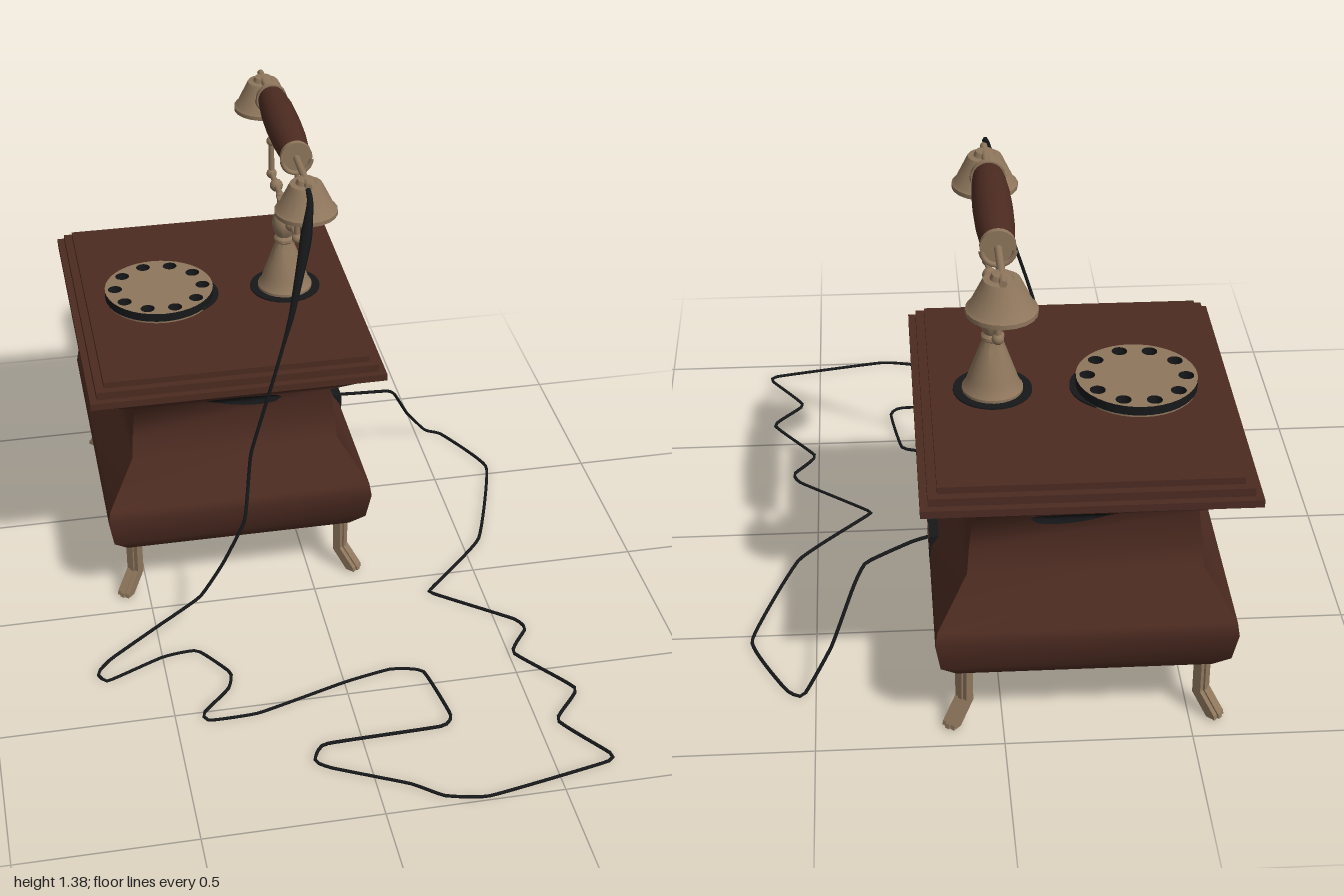
import * as THREE from 'three';
import { toCreasedNormals } from 'three/addons/utils/BufferGeometryUtils.js';

const mat = (name, color, extra = {}) => {
  const m = new THREE.MeshStandardMaterial({ color, ...extra });
  m.name = name;
  return m;
};

export function createModel() {
  const wood = mat('dark wood', 0x4c2b21);
  const brass = mat('aged brass', 0x8e765c);
  const black = mat('black', 0x17181a, { side: THREE.DoubleSide });
  const model = new THREE.Group();
  model.name = 'telephone';

  const add = (parent, name, geo, material, x = 0, y = 0, z = 0) => {
    const m = new THREE.Mesh(geo, material);
    m.name = name;
    m.position.set(x, y, z);
    parent.add(m);
    return m;
  };
  const group = (name, x, y, z) => {
    const g = new THREE.Group();
    g.name = name;
    g.position.set(x, y, z);
    model.add(g);
    return g;
  };
  const box = (w, h, d) => new THREE.BoxGeometry(w, h, d);
  const ball = (r) => new THREE.SphereGeometry(r, 14, 10);
  const lathe = (pts, seg = 24) => toCreasedNormals(
    new THREE.LatheGeometry(pts.map(([r, y]) => new THREE.Vector2(r, y)), seg), 0.6);

  // ---- Wooden case: rectangular cross-sections [y, half x, half z]
  const rows = [
    [0.172, 0.34, 0.415], [0.22, 0.382, 0.455], [0.306, 0.396, 0.473], [0.345, 0.39, 0.466],
    [0.465, 0.308, 0.374], [0.535, 0.303, 0.366], [0.62, 0.293, 0.35], [0.675, 0.356, 0.42], [0.727, 0.43, 0.5],
  ];
  const body = group('case', -0.216, 0, -0.5);
  const corners = [[-1, 1], [1, 1], [1, -1], [-1, -1]];
  corners.forEach((a, s) => {
    const b = corners[(s + 1) % 4];
    const pos = [], idx = [];
    rows.forEach(([y, hx, hz], i) => {
      pos.push(a[0] * hx, y, a[1] * hz, b[0] * hx, y, b[1] * hz);
      if (i) {
        const k = i * 2;
        idx.push(k - 2, k - 1, k + 1, k - 2, k + 1, k);
      }
    });
    const g = new THREE.BufferGeometry();
    g.setAttribute('position', new THREE.Float32BufferAttribute(pos, 3));
    g.setIndex(idx);
    g.computeVertexNormals();
    add(body, 'caseSide', g, wood);
  });
  add(body, 'caseFloor', box(0.68, 0.01, 0.83), wood, 0, 0.177, 0);
  // stepped lid
  [[0.43, 0.5, 0.727, 0.748], [0.41, 0.48, 0.748, 0.771], [0.386, 0.458, 0.771, 0.79]].forEach(
    ([hx, hz, y0, y1]) => add(body, 'lidStep', box(hx * 2, y1 - y0, hz * 2), wood, 0, (y0 + y1) / 2, 0));

  // dark oval inlays that follow the flare under the lid, front and back
  const halfZ = (y) => {
    const i = rows.findIndex((r) => r[0] >= y);
    const [a, b] = [rows[i - 1], rows[i]];
    return a[2] + (b[2] - a[2]) * (y - a[0]) / (b[0] - a[0]);
  };
  for (const s of [1, -1]) {
    const g = new THREE.PlaneGeometry(2, 2, 12, 6);
    const p = g.attributes.position;
    for (let i = 0; i < p.count; i++) {
      const u = p.getX(i);
      const y = 0.628 - 0.012 * u + p.getY(i) * 0.026 * Math.sqrt(Math.max(0, 1 - u * u));
      p.setXYZ(i, 0.03 + u * 0.115, y, s * (halfZ(y) + 0.004));
    }
    g.computeVertexNormals();
    add(body, 'ovalInlay', g, black);
  }

  // ---- Bent fluted legs, splayed diagonally at the four corners
  const leg = new THREE.Shape([[-0.012, 0.18], [-0.012, 0.065], [0.038, 0.006], [0.066, 0.006],
    [0.063, 0.018], [0.014, 0.075], [0.014, 0.18]].map(([x, y]) => new THREE.Vector2(x, y)));
  for (const sx of [-1, 1]) for (const sz of [-1, 1]) {
    const g = new THREE.Group();
    g.name = 'leg';
    g.position.set(sx * 0.317, 0, sz * 0.387);
    g.rotation.y = Math.atan2(-sz, sx);
    for (const k of [-1, 0, 1]) {
      const geo = new THREE.ExtrudeGeometry(leg, { depth: 0.013, bevelEnabled: false });
      add(g, 'legFlute', geo, brass, k ? 0 : 0.005, 0, k * 0.014 - 0.0065);
    }
    body.add(g);
  }

  // ---- Socket on the left side
  const socket = group('socket', 0.166, 0.332, -0.532);
  add(socket, 'socketBox', box(0.028, 0.086, 0.09), black);
  add(socket, 'socketPlate', box(0.004, 0.036, 0.08), wood, 0.014, 0.021, 0);

  // ---- Dial with ten finger holes
  const dial = group('dial', -0.382, 0.79, -0.5);
  const disc = new THREE.Shape().absarc(0, 0, 0.163, 0, Math.PI * 2);
  for (let i = 0; i < 10; i++) {
    const a = (104 + i * 36) * Math.PI / 180;
    disc.holes.push(new THREE.Path().absarc(Math.cos(a) * 0.132, Math.sin(a) * 0.132, 0.021, 0, Math.PI * 2, true));
  }
  const plate = new THREE.ExtrudeGeometry(disc, { depth: 0.026, bevelEnabled: false, curveSegments: 20 });
  plate.rotateX(-Math.PI / 2);
  add(dial, 'fingerPlate', plate, [brass, black], 0, 0.007, 0);
  add(dial, 'dialFloor', new THREE.CylinderGeometry(0.16, 0.16, 0.008, 36), brass, 0, 0.004, 0);
  add(dial, 'dialMat', new THREE.CylinderGeometry(0.125, 0.125, 0.004, 32), black, 0.055, 0.002, 0);

  // ---- Cradle: turned stand, crossbar and two posts
  const cradle = group('cradle', 0.003, 0, -0.495);
  add(cradle, 'standMat', new THREE.CylinderGeometry(0.106, 0.106, 0.004, 32), black, 0, 0.792, 0);
  add(cradle, 'stand', lathe([
    [0, 0.79], [0.082, 0.79], [0.082, 0.802], [0.074, 0.812], [0.066, 0.835], [0.05, 0.88], [0.034, 0.925],
    [0.026, 0.945], [0.031, 0.95], [0.031, 0.958], [0.024, 0.966], [0.033, 0.985], [0.037, 1.005],
    [0.033, 1.027], [0.02, 1.045], [0.014, 1.05], [0.014, 1.06], [0, 1.06]]), brass);
  add(cradle, 'barBlock', box(0.036, 0.036, 0.044), brass, 0, 1.067, 0);
  const bar = add(cradle, 'crossbar', new THREE.CylinderGeometry(0.009, 0.009, 0.43, 10), brass, 0, 1.066, 0);
  bar.rotation.x = Math.PI / 2;
  for (const s of [-1, 1]) {
    [[0.06, 0.014], [0.13, 0.02], [0.212, 0.016]].forEach(
      ([z, r]) => add(cradle, 'barBead', ball(r), brass, 0, 1.066, s * z));
    add(cradle, 'post', new THREE.CylinderGeometry(0.007, 0.009, 0.21, 10), brass, 0, 1.17, s * 0.212);
    add(cradle, 'postBead', ball(0.015), brass, 0, 1.175, s * 0.212);
    const fork = add(cradle, 'fork', new THREE.TorusGeometry(0.042, 0.007, 8, 16, Math.PI), brass, 0, 1.318, s * 0.212);
    fork.rotation.z = Math.PI;
  }

  // ---- Handset lying along z
  const handset = group('handset', 0.003, 1.32, -0.495);
  const grip = lathe([[0, -0.2], [0.04, -0.2], [0.044, -0.17], [0.05, -0.09], [0.052, 0], [0.05, 0.09],
    [0.044, 0.17], [0.04, 0.2], [0, 0.2]]);
  add(handset, 'grip', grip, wood, 0, 0.003, 0).rotation.x = Math.PI / 2;
  add(handset, 'rod', new THREE.CylinderGeometry(0.01, 0.01, 0.79, 12), brass).rotation.x = Math.PI / 2;
  const cupShell = [[0.084, -0.1], [0.09, -0.1], [0.09, -0.088], [0.082, -0.082], [0.052, -0.02],
    [0.046, -0.008], [0.03, -0.006], [0.024, 0.006], [0, 0.01]];
  const cupInside = [[0, -0.025], [0.046, -0.028], [0.084, -0.1]];
  for (const s of [-1, 1]) {
    const collar = lathe([[0, -0.008], [0.046, -0.008], [0.046, 0.008], [0, 0.008]]);
    add(handset, 'collar', collar, brass, 0, 0.002, s * 0.2).rotation.x = Math.PI / 2;
    add(handset, 'cup', lathe(cupShell, 20), brass, 0, 0, s * 0.35);
    add(handset, 'cupInside', lathe(cupInside, 20), black, 0, 0, s * 0.35);
  }

  // ---- Cord: hangs from the handset, wanders over the floor, climbs to the socket
  const drop = [
    [-0.002, 1.322, -0.085], [-0.006, 1.305, -0.035], [-0.03, 1.19, 0.005], [-0.075, 1.0, 0.045],
    [-0.13, 0.82, 0.068], [-0.2, 0.58, 0.075], [-0.214, 0.47, 0.09], [-0.232, 0.375, 0.125],
    [-0.3, 0.246, 0.142], [-0.375, 0.15, 0.165], [-0.51, 0.085, 0.2], [-0.65, 0.025, 0.245]];
  const floor = [
    [-0.695, 0.28], [-0.67, 0.32], [-0.5, 0.243], [-0.397, 0.233], [-0.317, 0.35], [-0.333, 0.418],
    [-0.42, 0.513], [-0.407, 0.545], [-0.265, 0.54], [0, 0.455], [0.143, 0.423], [0.233, 0.45],
    [0.265, 0.65], [0.228, 0.693], [-0.106, 0.704], [-0.148, 0.767], [-0.106, 0.804], [0.09, 0.905],
    [0.17, 0.968], [0.29, 0.992], [0.64, 0.922], [0.66, 0.89], [0.556, 0.73], [0.645, 0.608],
    [0.513, 0.418], [0.577, 0.317], [0.556, 0.265], [0.344, 0.095], [0.36, 0.063], [0.556, -0.148],
    [0.682, -0.53], [0.582, -0.75]];
  const rise = [[0.534, 0.008, -0.78], [0.454, 0.125, -0.72], [0.39, 0.26, -0.635], [0.354, 0.306, -0.59],
    [0.225, 0.34, -0.545], [0.17, 0.35, -0.535]];
  const points = [...drop, ...floor.map(([x, z]) => [x, 0.006, z]), ...rise].map((p) => new THREE.Vector3(...p));
  const curve = new THREE.CatmullRomCurve3(points, false, 'catmullrom', 0.2);
  curve.arcLengthDivisions = 1000;
  const cord = new THREE.TubeGeometry(curve, 360, 0.005, 6);
  // thicken the cord where it leaves the handset
  const p = cord.attributes.position, v = new THREE.Vector3();
  for (let i = 0; i < p.count; i++) {
    const c = curve.getPointAt(Math.floor(i / 7) / 360);
    v.fromBufferAttribute(p, i).sub(c);
    const k = 1 + 2.4 * Math.max(0, 1 - Math.abs(c.y - 1.22) / (c.y > 1.22 ? 0.13 : 0.3));
    v.multiplyScalar(k).add(c);
    p.setXYZ(i, v.x, v.y, v.z);
  }
  add(model, 'cord', cord, black);
  return model;
}
